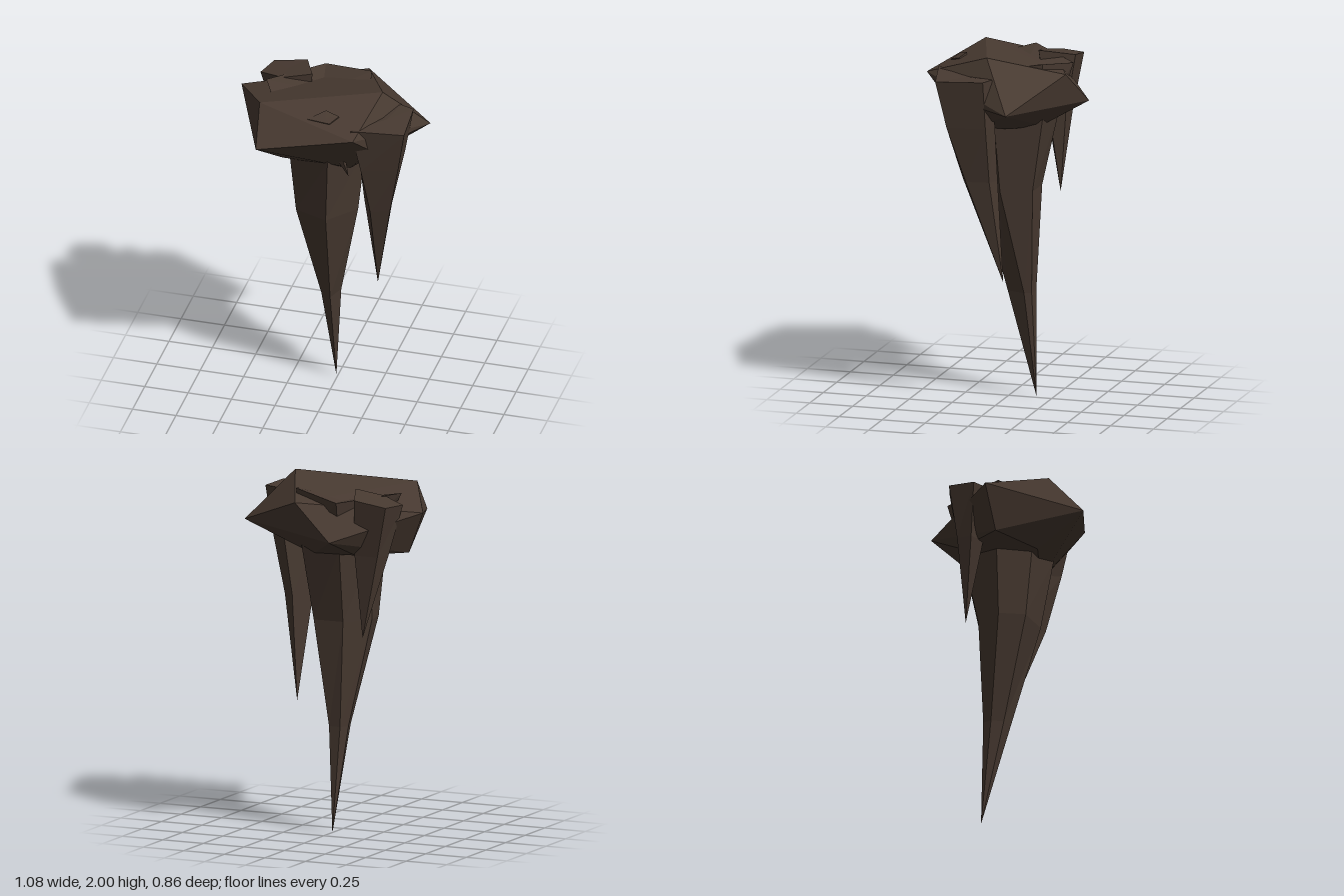
import * as THREE from 'three';
import { ConvexGeometry } from 'three/addons/geometries/ConvexGeometry.js';

const rock = new THREE.MeshStandardMaterial({ color: 0x483a31, flatShading: true });
rock.name = 'dark brown rock';

// Rings run from top to bottom, corners counter-clockwise seen from above; ends in a point.
function spike(name, rings, tip, dip = 0) {
  const pos = [];
  const tri = (...corners) => corners.forEach((c) => pos.push(...c));
  const n = rings[0].length;
  const centre = [0, 1, 2].map((k) => rings[0].reduce((s, p) => s + p[k], 0) / n);
  centre[1] -= dip;
  const levels = [...rings, Array(n).fill(tip)];
  for (let i = 0; i < n; i++) {
    const j = (i + 1) % n;
    tri(centre, rings[0][i], rings[0][j]);
    for (let r = 0; r < rings.length; r++) {
      const up = levels[r], low = levels[r + 1];
      tri(low[i], up[j], up[i]);
      if (r < rings.length - 1) tri(low[i], low[j], up[j]);
    }
  }
  const geo = new THREE.BufferGeometry();
  geo.setAttribute('position', new THREE.Float32BufferAttribute(pos, 3));
  geo.computeVertexNormals();
  const mesh = new THREE.Mesh(geo, rock);
  mesh.name = name;
  return mesh;
}

// Level ring from x, z pairs
const ring = (y, pairs) => pairs.map(([x, z]) => [x, y, z]);

export function createModel() {
  const group = new THREE.Group();
  group.name = 'stalactiteCluster';

  // Faceted boulder at the top
  const capPoints = [
    [-0.54, 1.84, -0.10], [-0.34, 1.95, 0.24], [0.31, 2.0, 0.03], [0.12, 1.89, -0.37],
    [0.535, 1.73, -0.15], [-0.12, 1.69, -0.43], [-0.31, 1.76, 0.43], [0.24, 1.88, 0.40],
    [0.31, 1.76, 0.27], [-0.43, 1.60, -0.05], [-0.23, 1.57, 0.17], [0.16, 1.56, 0.16],
    [0.22, 1.58, -0.08], [0.08, 1.58, -0.22], [-0.2, 1.6, -0.26],
  ].map((p) => new THREE.Vector3(...p));
  const cap = new THREE.Mesh(new ConvexGeometry(capPoints), rock);
  cap.name = 'capRock';
  group.add(cap);

  // Long central spike, its broken top just breaking through the cap
  group.add(spike('mainSpike', [
    [[0.2, 1.93, -0.1], [0.17, 1.95, -0.25], [-0.12, 1.9, -0.34],
      [-0.38, 1.93, -0.04], [-0.33, 1.91, 0.05], [0.05, 1.85, 0.2]],
    ring(1.62, [[0.21, 0.02], [0.14, -0.24], [-0.1, -0.26], [-0.22, -0.06], [-0.2, 0.14], [0.05, 0.24]]),
    ring(1.2, [[0.16, 0], [0.1, -0.17], [-0.08, -0.17], [-0.2, -0.05], [-0.17, 0.1], [0.02, 0.17]]),
    ring(0.6, [[0.035, -0.1], [0.02, -0.14], [-0.05, -0.145], [-0.08, -0.1], [-0.06, -0.03], [0, 0.005]]),
  ], [-0.01, 0, -0.16], 0.03));

  // Medium spike on the left side
  group.add(spike('sideSpike', [
    [[0.5, 1.89, 0.27], [0.48, 1.9, 0], [0.4, 1.9, -0.03], [0.24, 1.88, 0.1], [0.21, 1.91, 0.34]],
    ring(1.62, [[0.45, 0.22], [0.43, 0], [0.35, -0.03], [0.21, 0.08], [0.25, 0.27]]),
    ring(1.3, [[0.38, 0.13], [0.36, 0], [0.3, -0.03], [0.21, 0.05], [0.28, 0.18]]),
  ], [0.26, 0.71, -0.05]));

  // Short spike at the back right
  group.add(spike('backSpike', [
    [[-0.14, 1.95, -0.13], [-0.22, 1.92, -0.32], [-0.41, 1.89, -0.31], [-0.45, 1.89, -0.17], [-0.3, 1.92, -0.1]],
    ring(1.6, [[-0.17, -0.18], [-0.2, -0.27], [-0.34, -0.27], [-0.37, -0.19], [-0.28, -0.13]]),
  ], [-0.23, 1.13, -0.23]));

  // Small shard poking out near the front
  group.add(spike('frontShard', [
    [[0.08, 1.92, 0.31], [0.12, 1.94, 0.25], [0.04, 1.955, 0.23], [-0.05, 1.925, 0.3]],
  ], [0.16, 1.53, 0.2]));

  return group;
}
